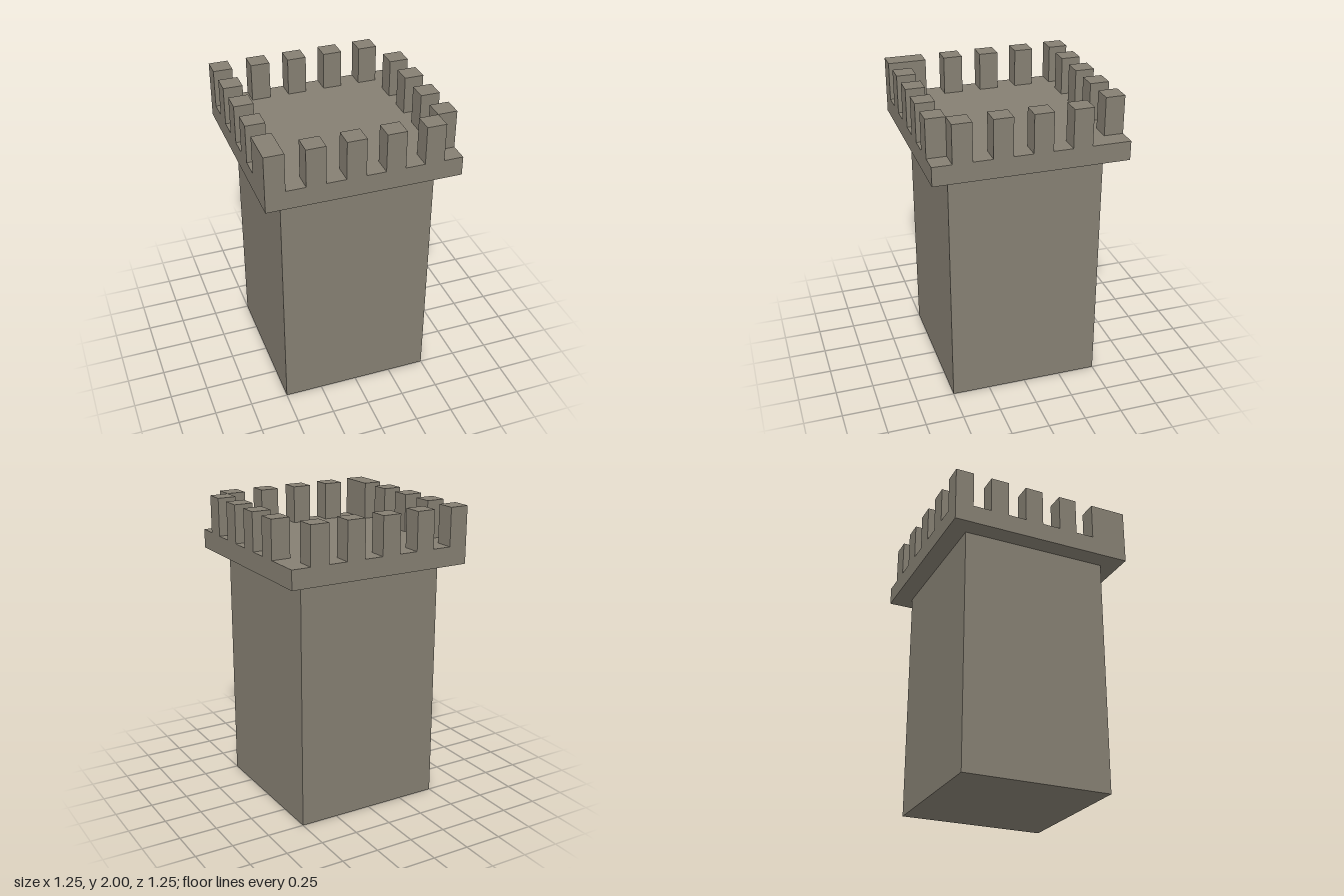
import * as THREE from 'three';

export function createModel() {
  const model = new THREE.Group();
  const stone = new THREE.MeshStandardMaterial({ color: 0x857f72 });
  stone.name = 'stone';

  function block(name, w, h, d, x, y, z) {
    const mesh = new THREE.Mesh(new THREE.BoxGeometry(w, h, d), stone);
    mesh.name = name;
    mesh.position.set(x, y + h / 2, z);
    model.add(mesh);
  }

  // Square shaft and overhanging platform
  block('towerShaft', 1, 1.625, 1, 0, 0, 0);
  block('platform', 1.25, 0.125, 1.25, 0, 1.625, 0);

  // Merlons stand on a 10 x 10 grid of cells round the rim
  const cell = 0.125;
  const at = (i) => (i - 4.5) * cell;
  const merlon = (name, i, k) => block(name, cell, 0.25, cell, at(i), 1.75, at(k));

  for (const i of [2, 4, 6, 8]) {
    merlon('backMerlon', i, 0);
    merlon('frontMerlon', i, 9);
    merlon('rightMerlon', 9, i);
    if (i < 8) merlon('leftMerlon', 0, i);
  }

  // Back corner merlon, and the double-length one at the front corner
  merlon('backCornerMerlon', 0, 0);
  block('frontCornerMerlon', cell, 0.25, cell * 2, at(0), 1.75, at(8.5));

  return model;
}
